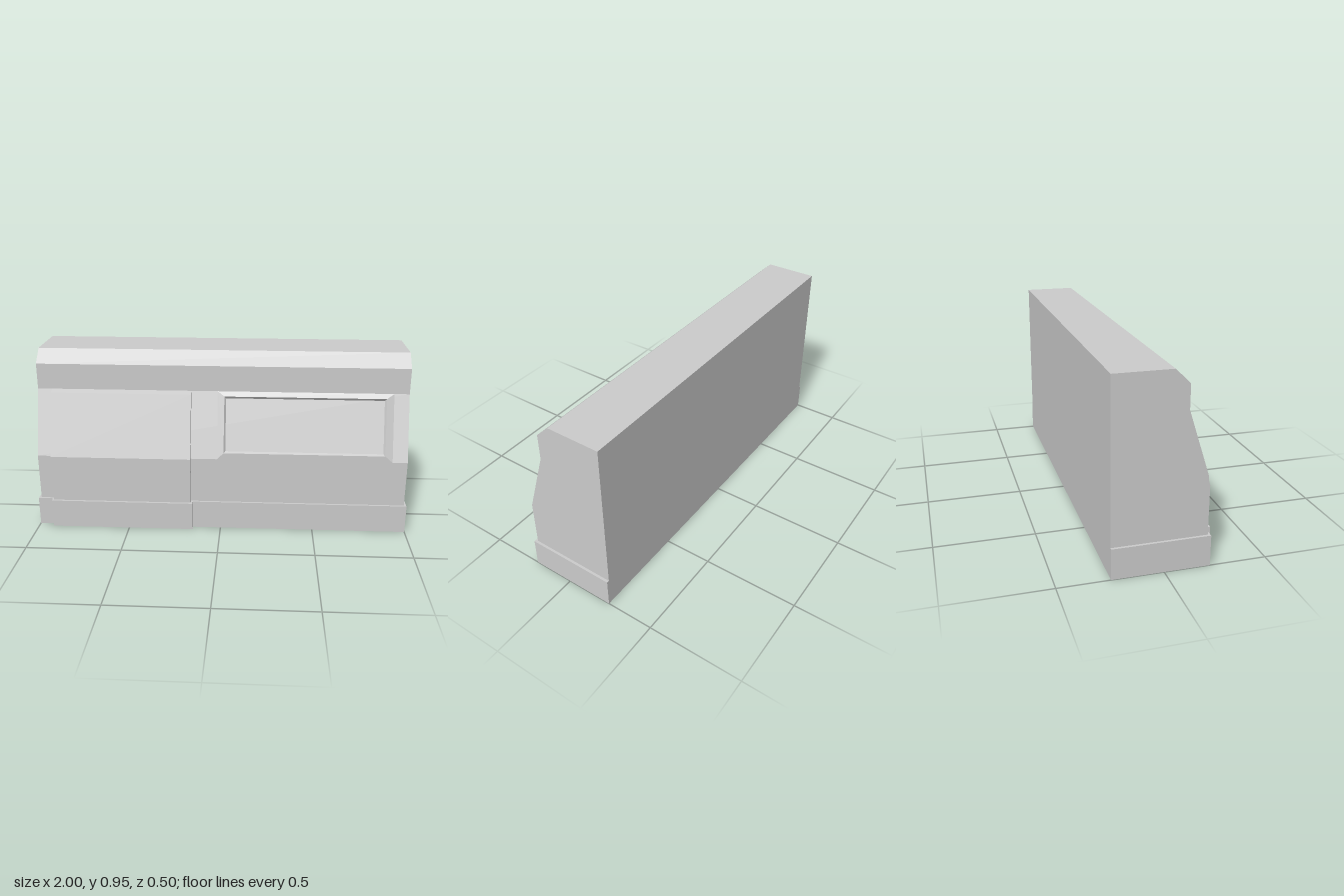
import * as THREE from 'three';

const material = new THREE.MeshStandardMaterial({ color: 0xcccccc, flatShading: true });

// Side profile given as [z, y] points, extruded from x0 to x1
function slab(name, points, x0, x1) {
  const shape = new THREE.Shape(points.map(([z, y]) => new THREE.Vector2(-z, y)));
  const geometry = new THREE.ExtrudeGeometry(shape, { depth: x1 - x0, bevelEnabled: false });
  geometry.rotateY(Math.PI / 2).translate(x0, 0, 0);
  const mesh = new THREE.Mesh(geometry, material);
  mesh.name = name;
  return mesh;
}

// Rectangle leaning back, as four corners counter-clockwise from the front
function leaningRect(x0, x1, yLow, zLow, yHigh, zHigh) {
  return [[x0, yLow, zLow], [x1, yLow, zLow], [x1, yHigh, zHigh], [x0, yHigh, zHigh]];
}

// Bands of quads joining successive four-cornered rings
function ringLoft(name, rings) {
  const positions = [];
  for (let r = 0; r < rings.length - 1; r++) {
    for (let i = 0; i < 4; i++) {
      const j = (i + 1) % 4;
      const [a, b, c, d] = [rings[r][i], rings[r][j], rings[r + 1][j], rings[r + 1][i]];
      positions.push(...a, ...b, ...c, ...a, ...c, ...d);
    }
  }
  const geometry = new THREE.BufferGeometry();
  geometry.setAttribute('position', new THREE.Float32BufferAttribute(positions, 3));
  geometry.computeVertexNormals();
  const mesh = new THREE.Mesh(geometry, material);
  mesh.name = name;
  return mesh;
}

export function createModel() {
  const model = new THREE.Group();
  model.name = 'wallConsole';
  const back = -0.25;
  const baseTop = 0.153;
  const slopeZ = (y) => 0.21 - (y - 0.4) * 0.11 / 0.345;

  // Plinth with a step forward under the raised panel
  model.add(slab('plinth', [[back, 0], [0.222, 0], [0.222, baseTop], [back, baseTop]], -1, 1));
  model.add(slab('plinthStep', [[0.222, 0], [0.25, 0], [0.25, baseTop], [0.222, baseTop]], -0.92, -0.15));

  // Main body with sloped front and chamfered top
  model.add(slab('body', [
    [back, baseTop], [0.21, baseTop], [0.21, 0.4], [0.1, 0.745],
    [0.1, 0.882], [0.03, 0.951], [back, 0.951],
  ], -0.987, 0.987));

  // Raised panel on the right-hand half
  model.add(slab('raisedPanel', [
    [0.05, baseTop], [0.237, baseTop], [0.237, 0.405], [0.132, 0.733], [0.1, 0.745], [0.05, 0.745],
  ], -0.91, -0.16));

  // Bevelled screen frame: outer foot, raised rim, then down to the screen
  model.add(ringLoft('screenFrame', [
    leaningRect(-0.02, 0.908, 0.4, 0.21, 0.745, 0.1),
    leaningRect(0.016, 0.868, 0.435, 0.21, 0.722, 0.119),
    leaningRect(0.025, 0.859, 0.442, slopeZ(0.442), 0.71, slopeZ(0.71)),
  ]));

  return model;
}
